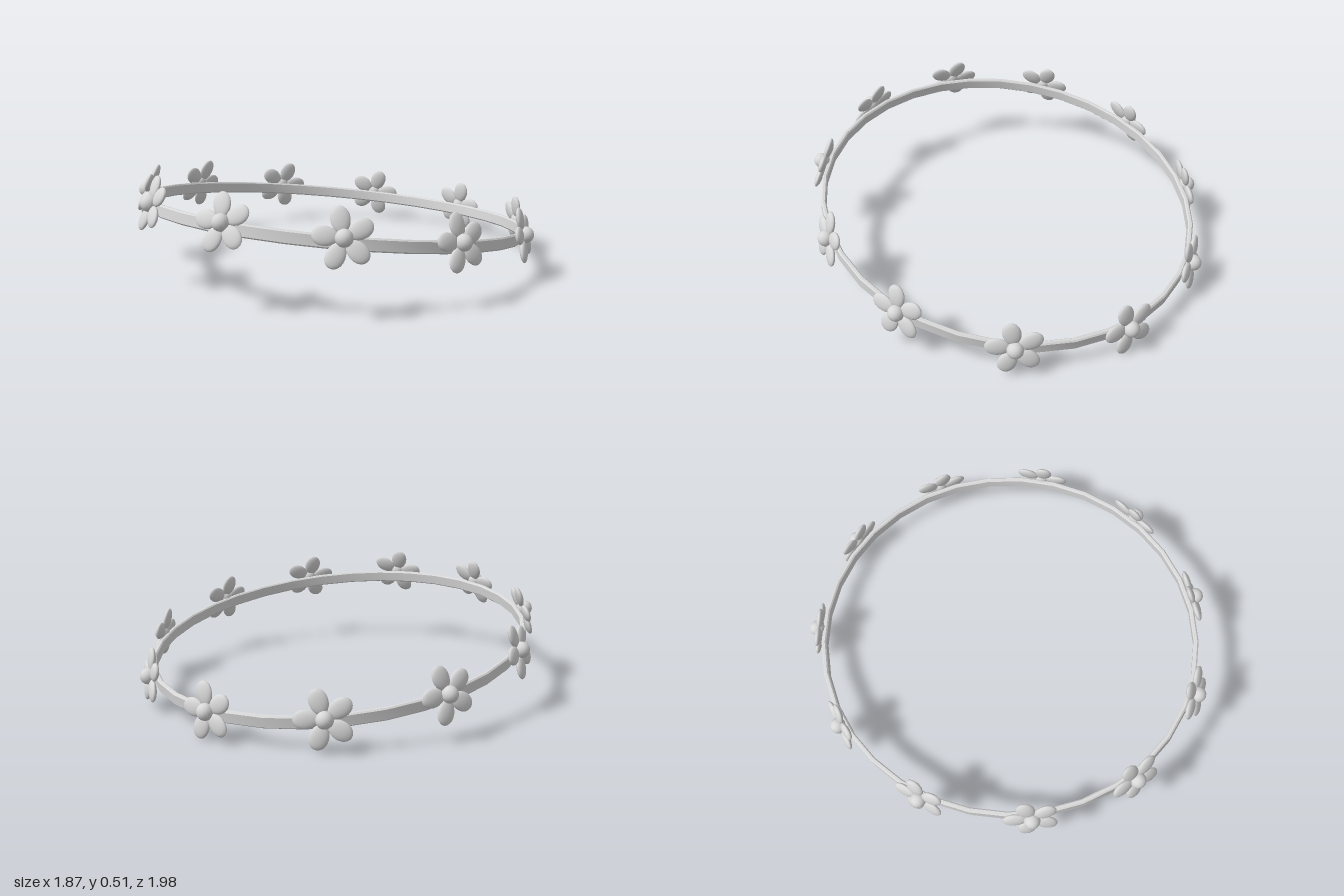
import * as THREE from 'three';
import { toCreasedNormals } from 'three/addons/utils/BufferGeometryUtils.js';

const FLOWERS = 11;
const RX = 0.89, RZ = 0.944;       // outer radii of the oval band
const BAND_H = 0.057, BAND_T = 0.023, BEVEL = 0.006;

export function createModel() {
  const grey = new THREE.MeshStandardMaterial({ color: 0xd8d8d8 });
  grey.name = 'pale grey';

  const crown = new THREE.Group();
  crown.name = 'flowerCrown';

  // Oval band with a bevelled rectangular section
  const h = BAND_H / 2, inner = RX - BAND_T, b = BEVEL;
  const section = [
    [RX, -h + b], [RX, h - b], [RX - b, h], [inner + b, h],
    [inner, h - b], [inner, -h + b], [inner + b, -h], [RX - b, -h], [RX, -h + b],
  ].map(([x, y]) => new THREE.Vector2(x, y));
  const bandGeo = new THREE.LatheGeometry(section, FLOWERS * 3);
  bandGeo.scale(1, 1, RZ / RX);
  const band = new THREE.Mesh(toCreasedNormals(bandGeo, 0.6), grey);
  band.name = 'band';
  crown.add(band);

  // Petal: flattened egg, a little wider towards its tip (+x)
  const petalGeo = new THREE.SphereGeometry(1, 16, 12);
  const p = petalGeo.attributes.position;
  for (let i = 0; i < p.count; i++) {
    const x = p.getX(i);
    p.setXYZ(i, 0.076 + x * 0.057, p.getY(i) * 0.041 * (1 + 0.08 * x), p.getZ(i) * 0.017);
  }
  petalGeo.computeVertexNormals();
  const heartGeo = new THREE.SphereGeometry(0.038, 16, 12);

  function makeFlower() {
    const flower = new THREE.Group();
    flower.name = 'flower';
    for (let i = 0; i < 5; i++) {
      const petal = new THREE.Mesh(petalGeo, grey);
      petal.name = 'petal';
      petal.rotation.z = THREE.MathUtils.degToRad(105 + 72 * i);
      flower.add(petal);
    }
    const heart = new THREE.Mesh(heartGeo, grey);
    heart.name = 'flowerHeart';
    heart.position.z = 0.013;
    flower.add(heart);
    return flower;
  }

  // Flowers spaced round the band, one at the back, gathered slightly to the front,
  // each facing out and slightly up
  for (let i = 0; i < FLOWERS; i++) {
    const even = (i / FLOWERS) * Math.PI * 2;
    const a = Math.PI + even + 0.026 * Math.sin(even);
    const flower = makeFlower();
    flower.position.set(Math.sin(a) * (RX + 0.008), 0.022, Math.cos(a) * (RZ + 0.016));
    flower.rotation.set(THREE.MathUtils.degToRad(-14), a, 0, 'YXZ');
    crown.add(flower);
  }

  // The whole crown tilts up at the front
  crown.rotation.x = THREE.MathUtils.degToRad(-8);
  crown.position.set(0, 0.247, 0.0165);

  const model = new THREE.Group();
  model.name = 'model';
  model.add(crown);
  return model;
}
